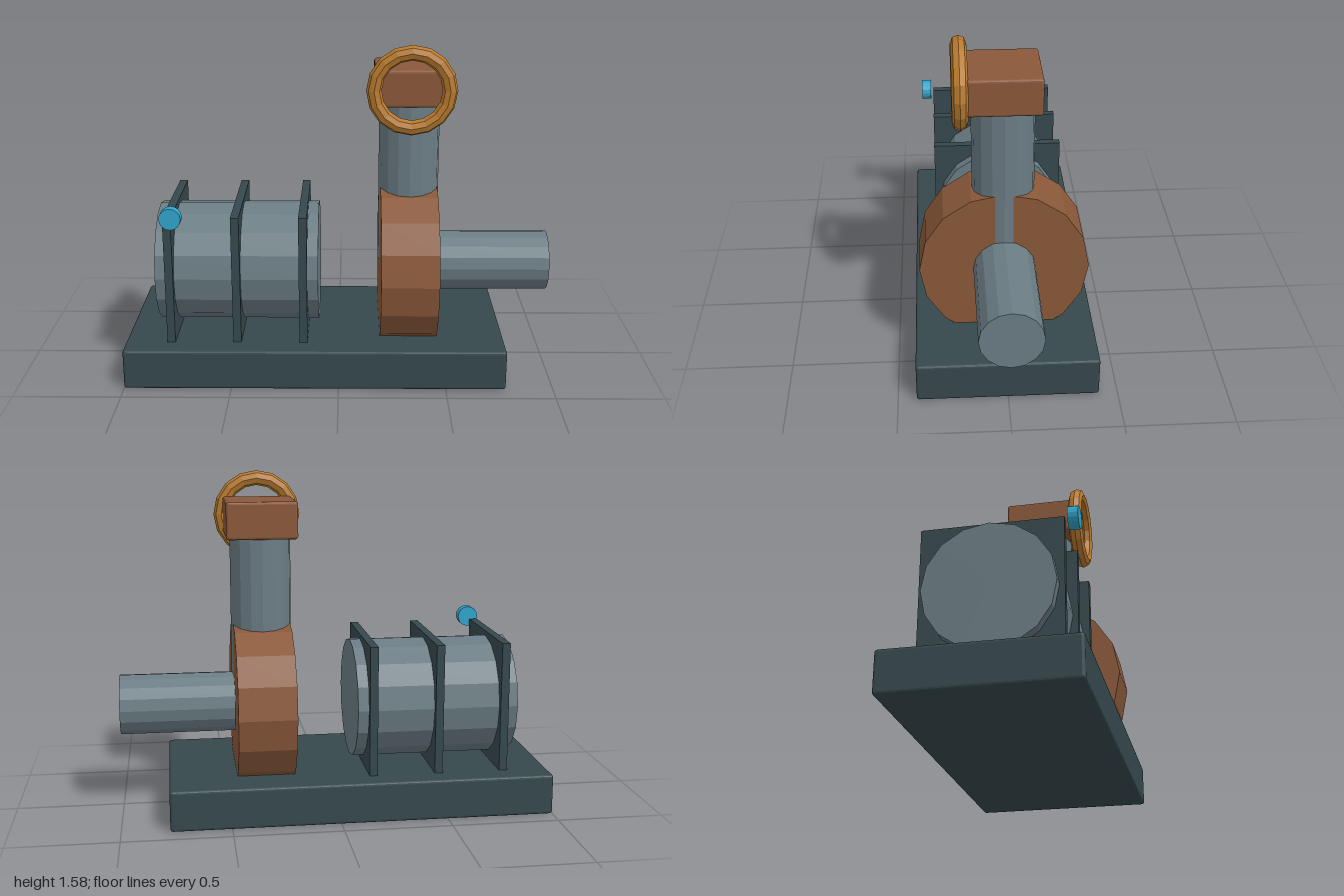
import * as THREE from 'three';
import { RoundedBoxGeometry } from 'three/addons/geometries/RoundedBoxGeometry.js';

const SIDES = 16;
const AXIS_Y = 0.495; // height of the shaft line
const PUMP_X = 0.33;

function material(name, color) {
  const m = new THREE.MeshStandardMaterial({ color, flatShading: true });
  m.name = name;
  return m;
}

export function createModel() {
  const group = new THREE.Group();
  const darkIron = material('dark iron', 0x36484d);
  const steel = material('steel', 0x6b7c84);
  const copper = material('copper', 0x8a5839);
  const brass = material('brass', 0xb87a2e);
  const blue = material('indicator blue', 0x2fa5cb);

  function add(name, geometry, mat, x, y, z = 0) {
    const mesh = new THREE.Mesh(geometry, mat);
    mesh.name = name;
    mesh.position.set(x, y, z);
    group.add(mesh);
    return mesh;
  }
  const rod = (r, length) => new THREE.CylinderGeometry(r, r, length, SIDES);
  const rodX = (r, length) => rod(r, length).rotateZ(-Math.PI / 2);

  // Base plate
  add('basePlate', new RoundedBoxGeometry(1.78, 0.19, 0.83, 2, 0.013), darkIron, -0.11, 0.095);

  // Motor with three square cooling fins
  add('motorBody', rodX(0.285, 0.76), steel, -0.475, AXIS_Y);
  for (const x of [-0.785, -0.475, -0.165]) {
    add('coolingFin', new THREE.BoxGeometry(0.038, 0.616, 0.616), darkIron, x, AXIS_Y);
  }
  add('indicatorLamp', rod(0.05, 0.046).rotateX(Math.PI / 2), blue, -0.76, 0.815, 0.343);

  // Pump casing, sunk into the base
  add('pumpCasing', rodX(0.388, 0.268), copper, PUMP_X, AXIS_Y);

  // Horizontal inlet and vertical outlet pipes
  add('inletPipe', rodX(0.142, 0.56), steel, 0.72, AXIS_Y);
  add('outletPipe', rod(0.142, 0.79).rotateY(Math.PI / 2), steel, PUMP_X, 0.9);

  // Valve block with its hand wheel
  add('valveBlock', new RoundedBoxGeometry(0.328, 0.172, 0.328, 2, 0.012), copper, PUMP_X, 1.37);
  add('handWheel', new THREE.TorusGeometry(0.172, 0.035, 8, 16), brass, PUMP_X, 1.37, 0.19);

  return group;
}
